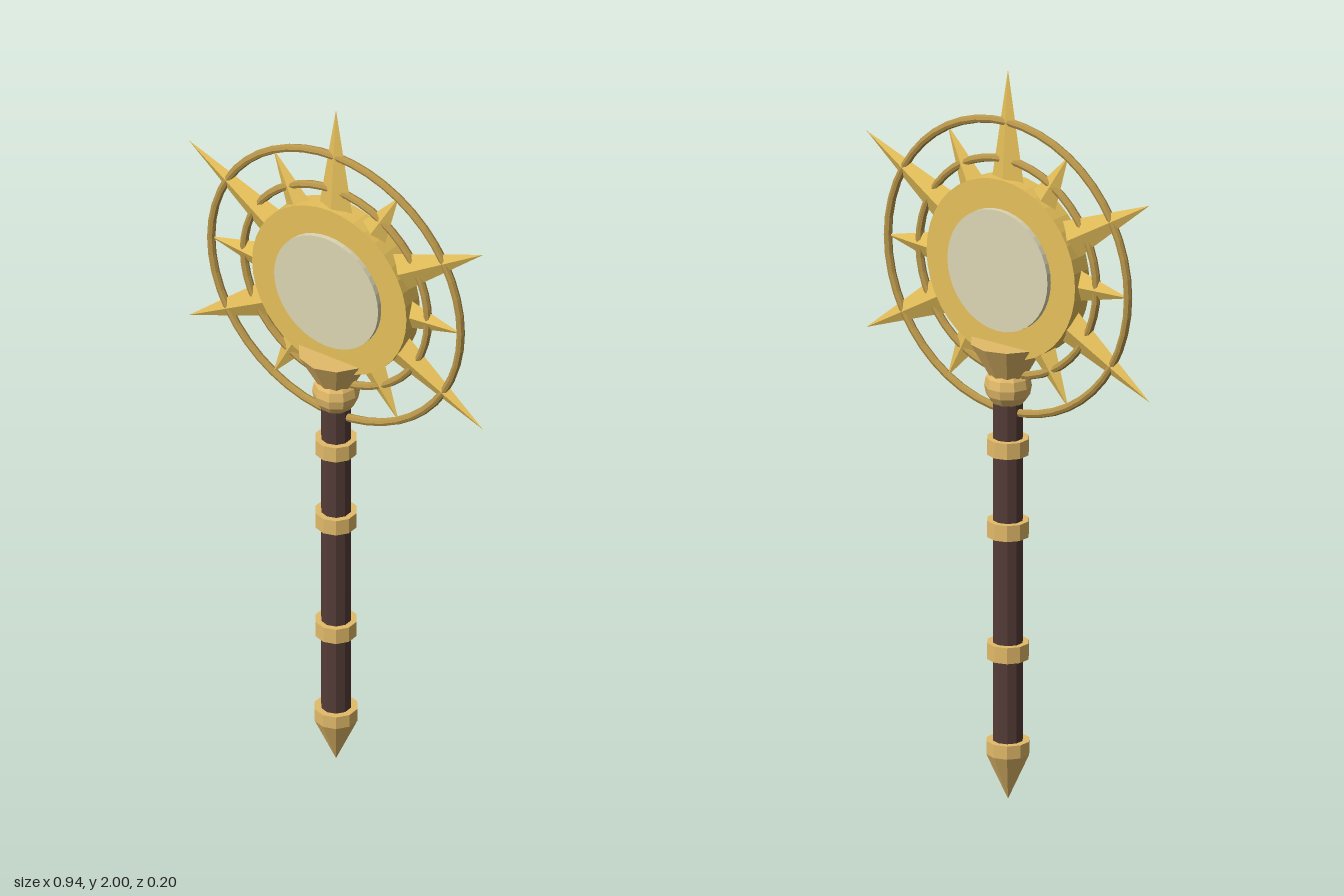
import * as THREE from 'three';

const mat = (color) => new THREE.MeshStandardMaterial({ color, flatShading: true });

export function createModel() {
  const root = new THREE.Group();
  const gold = mat(0xe6c05a), brass = mat(0xe3bb6a), bronze = mat(0xb8964a);
  const wood = mat(0x543c37), pale = mat(0xddd6b4);

  const add = (name, geometry, material, y = 0, parent = root) => {
    const mesh = new THREE.Mesh(geometry, material);
    mesh.name = name;
    mesh.position.y = y;
    parent.add(mesh);
    return mesh;
  };
  const cyl = (top, bottom, height, sides = 10) =>
    new THREE.CylinderGeometry(top, bottom, height, sides);

  // Handle: shaft, bands, pointed pommel, knob and flared cup
  add('shaft', cyl(0.04, 0.04, 1.02), wood, 0.64);
  for (const y of [0.41, 0.745, 0.97]) add('band', cyl(0.056, 0.056, 0.044), brass, y);
  add('pommelCollar', cyl(0.058, 0.058, 0.036), brass, 0.145);
  add('pommelPoint', cyl(0.058, 0, 0.127), brass, 0.0635);
  add('knob', new THREE.SphereGeometry(0.062, 10, 8), brass, 1.135);
  add('cup', cyl(0.1, 0.05, 0.09), brass, 1.21);

  // Sun head
  const head = new THREE.Group();
  head.name = 'sunHead';
  head.position.y = 1.46;
  root.add(head);

  const disc = (name, radius, depth, material) => {
    add(name, cyl(radius, radius, depth, 40), material, 0, head).rotation.x = Math.PI / 2;
  };
  disc('sunDisc', 0.245, 0.06, gold);
  disc('centreDisc', 0.165, 0.088, pale);
  add('outerRing', new THREE.TorusGeometry(0.396, 0.011, 8, 48), bronze, 0, head);
  add('innerRing', new THREE.TorusGeometry(0.292, 0.011, 8, 48), bronze, 0, head);

  // Flattened four-sided rays, alternating long and short
  const ray = (base, tip, halfWidth, halfDepth) =>
    new THREE.ConeGeometry(1, tip - base, 4)
      .scale(halfWidth, 1, halfDepth)
      .translate(0, (base + tip) / 2, 0);
  const longRay = ray(0.2, 0.54, 0.058, 0.026);
  const shortRay = ray(0.2, 0.398, 0.052, 0.024);
  for (let i = 0; i < 12; i++) {
    const long = i % 2 === 0;
    add(long ? 'longRay' : 'shortRay', long ? longRay : shortRay, gold, 0, head)
      .rotation.z = (i * Math.PI) / 6;
  }
  return root;
}
